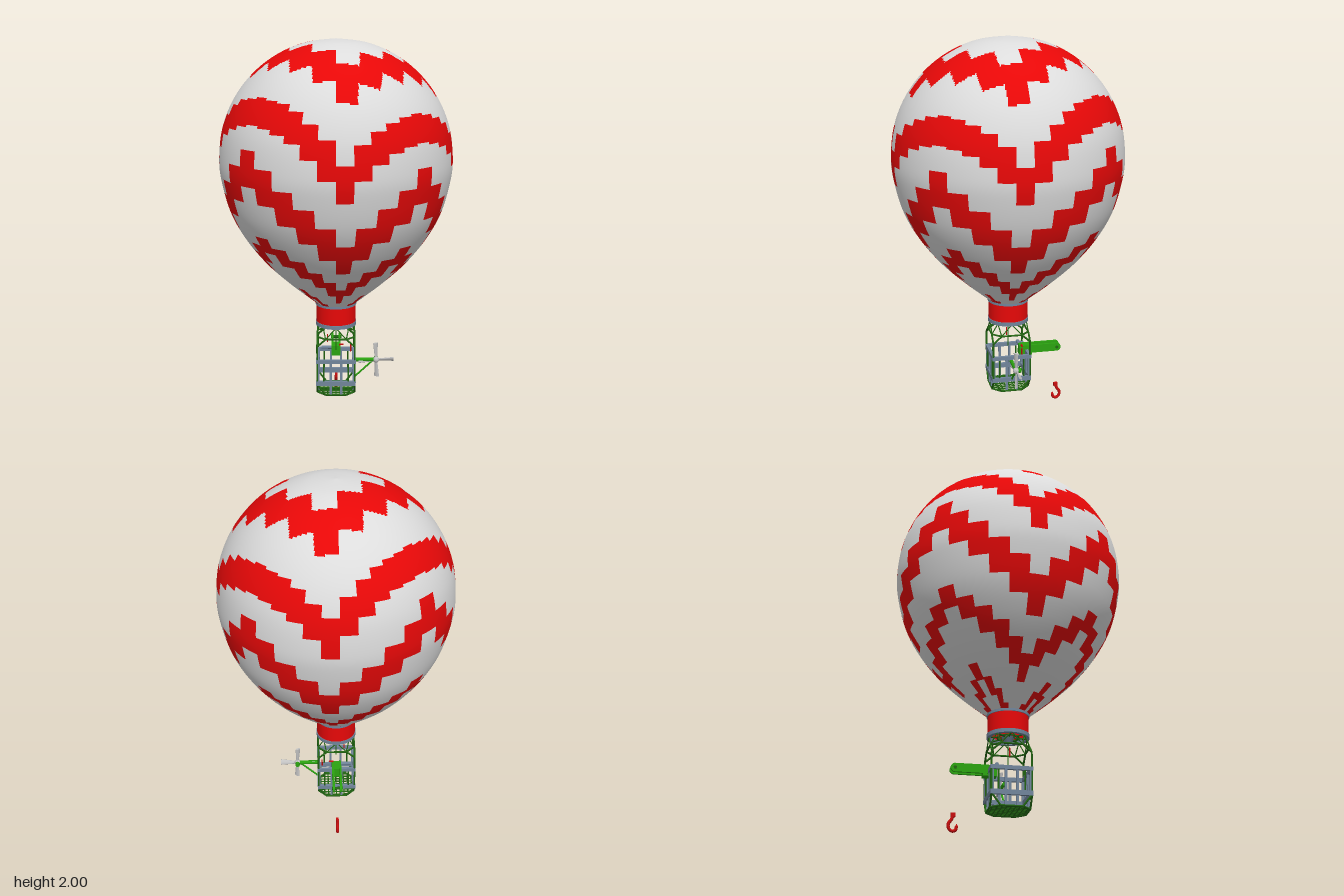
import * as THREE from 'three';

const mat = (name, color, side = THREE.FrontSide) => {
  const m = new THREE.MeshStandardMaterial({ color, side });
  m.name = name;
  return m;
};
const V = (x, y, z) => new THREE.Vector3(x, y, z);

export function createModel() {
  const model = new THREE.Group();
  const white = mat('white fabric', 0xdcdcdc, THREE.DoubleSide);
  const red = mat('red fabric', 0xea0808, THREE.DoubleSide);
  const darkGreen = mat('dark green frame', 0x226612);
  const green = mat('green machinery', 0x2ba310);
  const steel = mat('blue grey steel', 0x71859b);
  const silver = mat('silver propeller', 0xc2c2c2);
  const crimson = mat('crimson hook', 0xc80e0e);

  const add = (parent, name, geo, material, x = 0, y = 0, z = 0) => {
    const m = new THREE.Mesh(geo, material);
    m.name = name;
    m.position.set(x, y, z);
    parent.add(m);
    return m;
  };
  const group = (name) => {
    const g = new THREE.Group();
    g.name = name;
    model.add(g);
    return g;
  };
  // round bar between two points
  const bar = (parent, name, a, b, r, material) => {
    const d = b.clone().sub(a);
    const m = add(parent, name, new THREE.CylinderGeometry(r, r, d.length(), 8), material);
    m.position.copy(a).add(b).multiplyScalar(0.5);
    m.quaternion.setFromUnitVectors(V(0, 1, 0), d.normalize());
    return m;
  };

  model.add(envelope([white, red]));

  // Collar under the envelope, with two steel rims
  const collar = group('collar');
  add(collar, 'collarBand', new THREE.CylinderGeometry(0.105, 0.105, 0.11, 40, 1, true), red, 0, 0.56, 0);
  for (const y of [0.615, 0.502]) {
    const rim = [[0.09, -0.01], [0.109, -0.01], [0.109, 0.01], [0.09, 0.01], [0.09, -0.01]];
    add(collar, 'collarRim', new THREE.LatheGeometry(rim.map((p) => new THREE.Vector2(...p)), 40).toNonIndexed(), steel, 0, y, 0)
      .geometry.computeVertexNormals();
  }

  // Burner on cross bars inside the collar
  const burner = group('burner');
  for (let i = 0; i < 4; i++) {
    const a = (i * Math.PI) / 4;
    const p = V(0.1 * Math.cos(a), 0.497, 0.1 * Math.sin(a));
    bar(burner, 'burnerSpoke', p, V(-p.x, p.y, -p.z), 0.004, darkGreen);
  }
  add(burner, 'burnerRing', new THREE.TorusGeometry(0.055, 0.004, 6, 24), darkGreen, 0, 0.497, 0).rotation.x = Math.PI / 2;
  add(burner, 'burnerNozzle', new THREE.CylinderGeometry(0.035, 0.018, 0.03, 16), steel, 0, 0.485, 0);
  bar(burner, 'burnerCord', V(-0.045, 0.385, 0), V(-0.045, 0.43, 0), 0.003, crimson);
  bar(burner, 'fuelLine', V(0, 0.34, 0), V(0, 0.48, 0), 0.003, darkGreen);

  // Square frame with octagonal top and floor rings, repeated on four sides
  const H = 0.1, C = 0.055;
  const frame = group('frame');
  const basket = group('basket');
  for (let i = 0; i < 4; i++) {
    const side = new THREE.Group();
    side.name = 'frameSide';
    side.rotation.y = (i * Math.PI) / 2;
    frame.add(side);
    bar(side, 'cornerPost', V(H, 0.18, H), V(H, 0.395, H), 0.005, darkGreen);
    for (const [y, fork] of [[0.435, 0.395], [0.12, 0.18]]) {
      bar(side, 'ringSide', V(-C, y, H), V(C, y, H), 0.005, darkGreen);
      bar(side, 'ringCorner', V(C, y, H), V(H, y, C), 0.005, darkGreen);
      bar(side, 'cornerBrace', V(H, fork, H), V(C, y, H), 0.005, darkGreen);
      bar(side, 'cornerBrace', V(H, fork, H), V(H, y, C), 0.005, darkGreen);
    }
    for (const s of [-1, 1]) {
      bar(side, 'slat', V(s * 0.066, 0.186, H), V(s * 0.066, 0.31, H), 0.004, darkGreen);
      // zigzag struts up to the collar
      for (const a of [0, Math.PI / 4])
        bar(side, 'zigzagStrut', V(s * C, 0.435, H), V(s * 0.098 * Math.sin(a), 0.497, 0.098 * Math.cos(a)), 0.003, darkGreen);
    }

    // steel rails and posts
    const wall = new THREE.Group();
    wall.name = 'basketWall';
    wall.rotation.y = (i * Math.PI) / 2;
    basket.add(wall);
    for (const [y, h] of [[0.31, 0.02], [0.186, 0.024]])
      add(wall, 'basketRail', new THREE.BoxGeometry(0.212, h, 0.016), steel, 0, y, H - 0.002);
    for (const x of [-0.028, 0.028])
      add(wall, 'basketPost', new THREE.BoxGeometry(0.012, 0.19, 0.012), steel, x, 0.215, H - 0.004);
    add(wall, 'cornerSleeve', new THREE.BoxGeometry(0.014, 0.13, 0.014), steel, H - 0.004, 0.248, H - 0.004);
  }

  // Lattice floor inside the octagon
  const floor = group('floor');
  for (let i = -4; i <= 4; i++) {
    const t = i * 0.022;
    const e = Math.min(H, H + C - Math.abs(t));
    bar(floor, 'floorBar', V(t, 0.12, -e), V(t, 0.12, e), 0.0035, darkGreen);
    bar(floor, 'floorBar', V(-e, 0.12, t), V(e, 0.12, t), 0.0035, darkGreen);
  }

  // Propeller on a side arm
  const drive = group('propellerDrive');
  bar(drive, 'propellerArm', V(0.09, 0.285, 0), V(0.205, 0.285, 0), 0.011, green);
  bar(drive, 'armBrace', V(0.105, 0.19, 0), V(0.2, 0.28, 0), 0.005, green);
  bar(drive, 'motor', V(0.218, 0.285, -0.025), V(0.218, 0.285, -0.008), 0.013, green);
  add(drive, 'propellerHub', new THREE.SphereGeometry(0.017, 16, 12), silver, 0.218, 0.285, 0.002);
  for (let i = 0; i < 4; i++) {
    const arm = new THREE.Group();
    arm.name = 'propellerBlade';
    arm.position.set(0.218, 0.285, 0.002);
    arm.rotation.z = (i * Math.PI) / 2 + 0.04;
    drive.add(arm);
    const blade = add(arm, 'blade', new THREE.CylinderGeometry(0.016, 0.008, 0.09, 12), silver, 0, 0.05, 0);
    blade.scale.z = 0.4;
    blade.rotation.y = 0.6;
  }

  // Rear crane boom: two round-ended plates joined by pins
  const crane = group('crane');
  const plate = new THREE.Shape();
  plate.moveTo(0.07, -0.022);
  plate.lineTo(0.268, -0.022);
  plate.absarc(0.268, 0, 0.022, -Math.PI / 2, Math.PI / 2, false);
  plate.lineTo(0.07, 0.022);
  const plateGeo = new THREE.ExtrudeGeometry(plate, { depth: 0.012, bevelEnabled: false, curveSegments: 12 });
  plateGeo.rotateY(Math.PI / 2);
  for (const x of [-0.026, 0.014]) add(crane, 'boomPlate', plateGeo, green, x, 0.32, 0);
  add(crane, 'boomBase', new THREE.BoxGeometry(0.05, 0.055, 0.07), green, 0, 0.313, -0.095);
  bar(crane, 'boomPulley', V(-0.03, 0.32, -0.268), V(0.03, 0.32, -0.268), 0.008, darkGreen);
  bar(crane, 'winchDrum', V(-0.08, 0.33, -0.07), V(0.02, 0.33, -0.07), 0.01, steel);
  bar(crane, 'winchCrank', V(0.02, 0.33, -0.07), V(0.02, 0.348, -0.07), 0.004, crimson);
  bar(crane, 'winchHandle', V(0.02, 0.346, -0.07), V(0.04, 0.346, -0.07), 0.005, crimson);
  bar(crane, 'lever', V(0.08, 0.31, -0.06), V(0.08, 0.35, -0.06), 0.004, crimson);

  // Hook hanging below the boom
  const hook = group('hook');
  const hookPath = new THREE.CatmullRomCurve3([
    V(0, 0.085, -0.27), V(0, 0.065, -0.277), V(0, 0.045, -0.291), V(0, 0.022, -0.29),
    V(0, 0.008, -0.274), V(0, 0.014, -0.257), V(0, 0.032, -0.252),
  ]);
  add(hook, 'hookCurve', new THREE.TubeGeometry(hookPath, 30, 0.008, 8), crimson);
  add(hook, 'hookBlock', new THREE.BoxGeometry(0.014, 0.02, 0.022), crimson, 0, 0.088, -0.27);
  add(hook, 'hookTip', new THREE.ConeGeometry(0.008, 0.014, 8), crimson, 0, 0.038, -0.252);

  return model;
}

// Lower zigzag bands: top and bottom height at the front tip, and rise per step
const BANDS = [
  [1.05, 0.09, 0.88, 0.088],
  [0.76, 0.06, 0.65, 0.062],
  [0.475, 0.053, 0.36, 0.062],
];
// stair columns in each quarter, for the upper and the lower bands
const UPPER = 11, LOWER = 9;

function isRed(angle, arc, y) {
  // crown: a stepped diamond of square cells
  const cell = 0.1195;
  const d = Math.abs(Math.floor((arc * Math.sin(angle)) / cell)) + Math.abs(Math.floor((arc * Math.cos(angle)) / cell));
  if (d === 3 || d === 4) return true;
  // upper band: a larger diamond cut into stair columns
  const turn = angle / (Math.PI / 2);
  const mid = ((Math.floor(turn * UPPER) + 0.5) / UPPER) * (Math.PI / 2);
  const sum = Math.abs(arc * Math.sin(mid) - cell / 2) + Math.abs(arc * Math.cos(mid) - cell / 2);
  if (sum > 0.83 && sum < 1.03) return true;
  // lower bands: stairs that rise to the middle of each quarter
  const column = Math.floor(turn * LOWER);
  const k = column % LOWER;
  const level = [0, 1, 2, 1][Math.floor(column / LOWER)] + Math.min(k, LOWER - 1 - k);
  return BANDS.some(([top, topStep, bottom, bottomStep]) =>
    y < top + topStep * level && y > bottom + bottomStep * level);
}

// Envelope: a finely divided surface of revolution, coloured face by face
function envelope(materials) {
  const pts = [];
  for (let i = 0; i <= 6; i++) {
    const a = (i * Math.PI) / 12;
    pts.push(new THREE.Vector2(0.6 * Math.sin(a), 1.4 + 0.6 * Math.cos(a)));
  }
  for (const p of [[0.59, 1.28], [0.547, 1.12], [0.472, 0.98], [0.37, 0.85], [0.255, 0.74], [0.16, 0.66], [0.105, 0.615]])
    pts.push(new THREE.Vector2(...p));
  const profile = new THREE.SplineCurve(pts);
  const length = profile.getLength();

  const rows = 160, around = UPPER * LOWER * 4;
  const rings = profile.getSpacedPoints(rows);
  const pos = [];
  for (const p of rings) {
    for (let i = 0; i < around; i++) {
      const a = (i / around) * Math.PI * 2;
      pos.push(p.x * Math.sin(a), p.y, p.x * Math.cos(a));
    }
  }
  const faces = [[], []];
  for (let j = 0; j < rows; j++) {
    const y = (rings[j].y + rings[j + 1].y) / 2;
    for (let i = 0; i < around; i++) {
      const a = j * around + i, b = j * around + ((i + 1) % around);
      const c = a + around, d = b + around;
      const angle = ((i + 0.5) / around) * Math.PI * 2;
      faces[isRed(angle, ((j + 0.5) / rows) * length, y) ? 1 : 0].push(a, c, b, b, c, d);
    }
  }
  const geo = new THREE.BufferGeometry();
  geo.setAttribute('position', new THREE.Float32BufferAttribute(pos, 3));
  geo.setIndex(faces[0].concat(faces[1]));
  geo.addGroup(0, faces[0].length, 0);
  geo.addGroup(faces[0].length, faces[1].length, 1);
  geo.computeVertexNormals();
  const mesh = new THREE.Mesh(geo, materials);
  mesh.name = 'envelope';
  return mesh;
}
